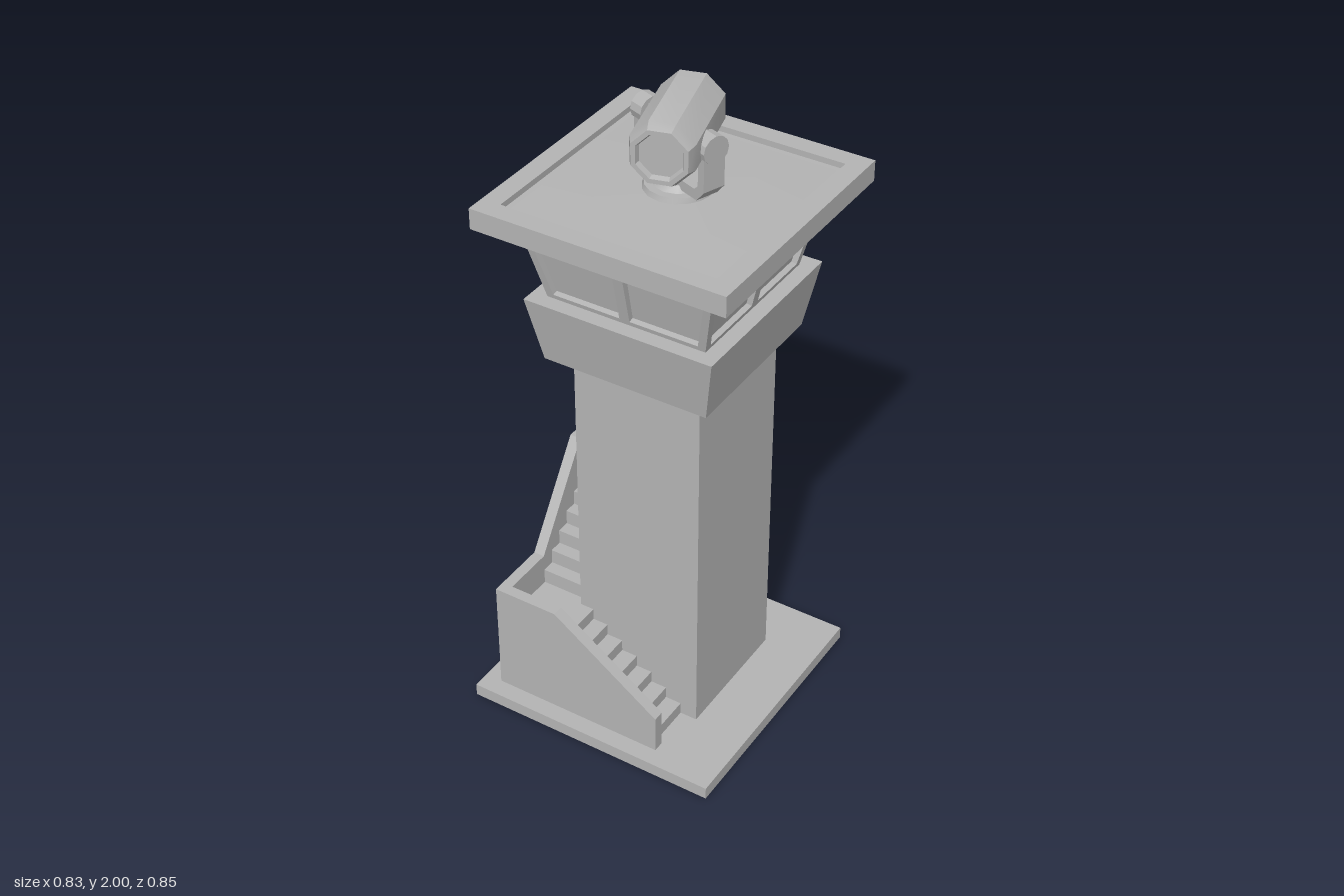
import * as THREE from 'three';
import { toCreasedNormals } from 'three/addons/utils/BufferGeometryUtils.js';

export function createModel() {
  const model = new THREE.Group();
  const concrete = new THREE.MeshStandardMaterial({ color: 0xb4b4b4 });
  concrete.name = 'concrete grey';

  const add = (name, geometry, parent = model) => {
    const mesh = new THREE.Mesh(toCreasedNormals(geometry, 0.5), concrete);
    mesh.name = name;
    parent.add(mesh);
    return mesh;
  };
  // Box given by its lower and upper limits on each axis
  const box = (name, x0, x1, y0, y1, z0, z1, parent) => add(name,
    new THREE.BoxGeometry(x1 - x0, y1 - y0, z1 - z0)
      .translate((x0 + x1) / 2, (y0 + y1) / 2, (z0 + z1) / 2), parent);
  // Square frustum given by half widths at the bottom and top
  const frustum = (name, h0, h1, y0, y1, parent) => add(name,
    new THREE.CylinderGeometry(h1 * Math.SQRT2, h0 * Math.SQRT2, y1 - y0, 4)
      .rotateY(Math.PI / 4).translate(0, (y0 + y1) / 2, 0), parent);
  const polygon = pts => new THREE.Shape(pts.map(p => new THREE.Vector2(...p)));
  const extrude = (shape, depth) =>
    new THREE.ExtrudeGeometry(shape, { depth, bevelEnabled: false, curveSegments: 6 });

  // Ground slab and the three stacked shaft sections
  box('baseSlab', -0.415, 0.408, 0, 0.04, -0.395, 0.425);
  [[0.04, 0.43], [0.43, 0.83], [0.83, 1.23]].forEach(([y0, y1]) =>
    box('shaftSection', -0.175, 0.235, y0, y1, -0.222, 0.196));

  // Stairs wrapping round the front and the right side
  const stairs = new THREE.Group();
  stairs.name = 'stairs';
  model.add(stairs);
  add('frontStairWall', extrude(polygon([[-0.36, 0.04], [0.2, 0.04], [0.2, 0.165],
    [-0.15, 0.412], [-0.36, 0.412]]), 0.035).translate(0, 0, 0.335), stairs);
  add('sideStairWall', extrude(polygon([[-0.37, 0.04], [0.23, 0.04], [0.23, 0.725],
    [0.04, 0.725], [-0.17, 0.412], [-0.37, 0.412]]), 0.035)
    .rotateY(Math.PI / 2).translate(-0.36, 0, 0), stairs);
  box('backStairWall', -0.33, -0.17, 0.04, 0.725, -0.23, -0.2, stairs);
  box('landing', -0.33, -0.13, 0.04, 0.31, 0.17, 0.34, stairs);
  for (let i = 0; i < 6; i++) {
    const x = 0.18 - i * 0.052;
    box('frontStep', x - 0.053, x, 0.04, 0.04 + (i + 1) * 0.0386, 0.19, 0.34, stairs);
  }
  for (let i = 0; i < 5; i++) {
    const z = 0.17 - i * 0.042;
    box('sideStep', -0.33, -0.17, 0.04, 0.31 + (i + 1) * 0.048, z - 0.043, z, stairs);
  }
  box('upperPlatform', -0.33, -0.17, 0.04, 0.6, -0.205, -0.04, stairs);

  // Door frame on the right side, above the platform
  box('doorLintel', -0.182, -0.17, 0.8, 0.82, -0.13, 0.03);
  for (const z of [-0.13, 0.01]) box('doorPost', -0.182, -0.17, 0.6, 0.8, z, z + 0.02);

  // Lookout cabin
  const cabin = new THREE.Group();
  cabin.name = 'cabin';
  cabin.position.set(0.015, 0, -0.028);
  model.add(cabin);
  frustum('parapet', 0.262, 0.299, 1.215, 1.42, cabin);
  frustum('glazing', 0.233, 0.277, 1.41, 1.63, cabin);
  frustum('headBeam', 0.298, 0.306, 1.615, 1.645, cabin);
  frustum('roofCollar', 0.318, 0.322, 1.635, 1.665, cabin);

  // Four leaning window frames with two openings each
  const b = 0.252, t = 0.296, len = Math.hypot(0.2, t - b);
  for (let i = 0; i < 4; i++) {
    const frame = polygon([[-b, 0], [b, 0], [t, len], [-t, len]]);
    for (const s of [-1, 1]) {
      frame.holes.push(new THREE.Path([[0.016, 0.014], [b - 0.022, 0.014],
        [t - 0.026, len - 0.016], [0.016, len - 0.016]]
        .map(([x, y]) => new THREE.Vector2(s * x, y))));
    }
    add('windowFrame', extrude(frame, 0.022).translate(0, 0, -0.022)
      .rotateX(Math.atan2(t - b, 0.2)).translate(0, 1.42, b)
      .rotateY(i * Math.PI / 2), cabin);
  }

  // Roof slab, raised rim and shallow pitched centre
  const roof = new THREE.Group();
  roof.name = 'roof';
  roof.position.set(0.015, 0, -0.03);
  model.add(roof);
  frustum('roofSlab', 0.395, 0.395, 1.662, 1.708, roof);
  const square = h => [[-h, -h], [h, -h], [h, h], [-h, h]];
  const rim = polygon(square(0.395));
  rim.holes.push(new THREE.Path(square(0.335).map(p => new THREE.Vector2(...p))));
  add('roofRim', extrude(rim, 0.019).rotateX(-Math.PI / 2).translate(0, 1.707, 0), roof);
  frustum('roofPitch', 0.335, 0.05, 1.707, 1.724, roof);

  // Searchlight: turntable, U-shaped bracket and octagonal lamp
  const light = new THREE.Group();
  light.name = 'searchlight';
  light.position.set(0.022, 0, -0.035);
  model.add(light);
  add('turntable', new THREE.CylinderGeometry(0.095, 0.1, 0.016, 16).translate(0, 1.73, 0), light);
  add('turntableNeck', new THREE.CylinderGeometry(0.06, 0.075, 0.02, 12).translate(0, 1.746, 0), light);
  const bracket = new THREE.Group();
  bracket.name = 'bracket';
  bracket.rotation.y = -0.35;
  light.add(bracket);
  add('yoke', extrude(polygon([[-0.15, 1.78], [-0.12, 1.745], [0.12, 1.745], [0.15, 1.78],
    [0.15, 1.88], [0.125, 1.88], [0.125, 1.79], [0.11, 1.776], [-0.11, 1.776],
    [-0.125, 1.79], [-0.125, 1.88], [-0.15, 1.88]]), 0.07).translate(0, 0, -0.035), bracket);
  for (const s of [-1, 1]) {
    add('yokeEnd', new THREE.CylinderGeometry(0.042, 0.042, 0.045, 12)
      .rotateZ(Math.PI / 2).translate(s * 0.135, 1.9, 0), bracket);
    add('pivot', new THREE.CylinderGeometry(0.02, 0.02, 0.08, 8)
      .rotateZ(Math.PI / 2).translate(s * 0.09, 1.91, 0), bracket);
  }
  const lampProfile = [[0, -0.17], [0.078, -0.17], [0.097, -0.145], [0.097, 0.14],
    [0.084, 0.17], [0.07, 0.17], [0.064, 0.155], [0, 0.155]];
  add('lamp', new THREE.LatheGeometry(lampProfile.map(p => new THREE.Vector2(...p)), 8)
    .rotateY(Math.PI / 8).rotateX(Math.PI / 2).rotateY(0.27)
    .translate(0.008, 1.91, 0.018), light);

  return model;
}
